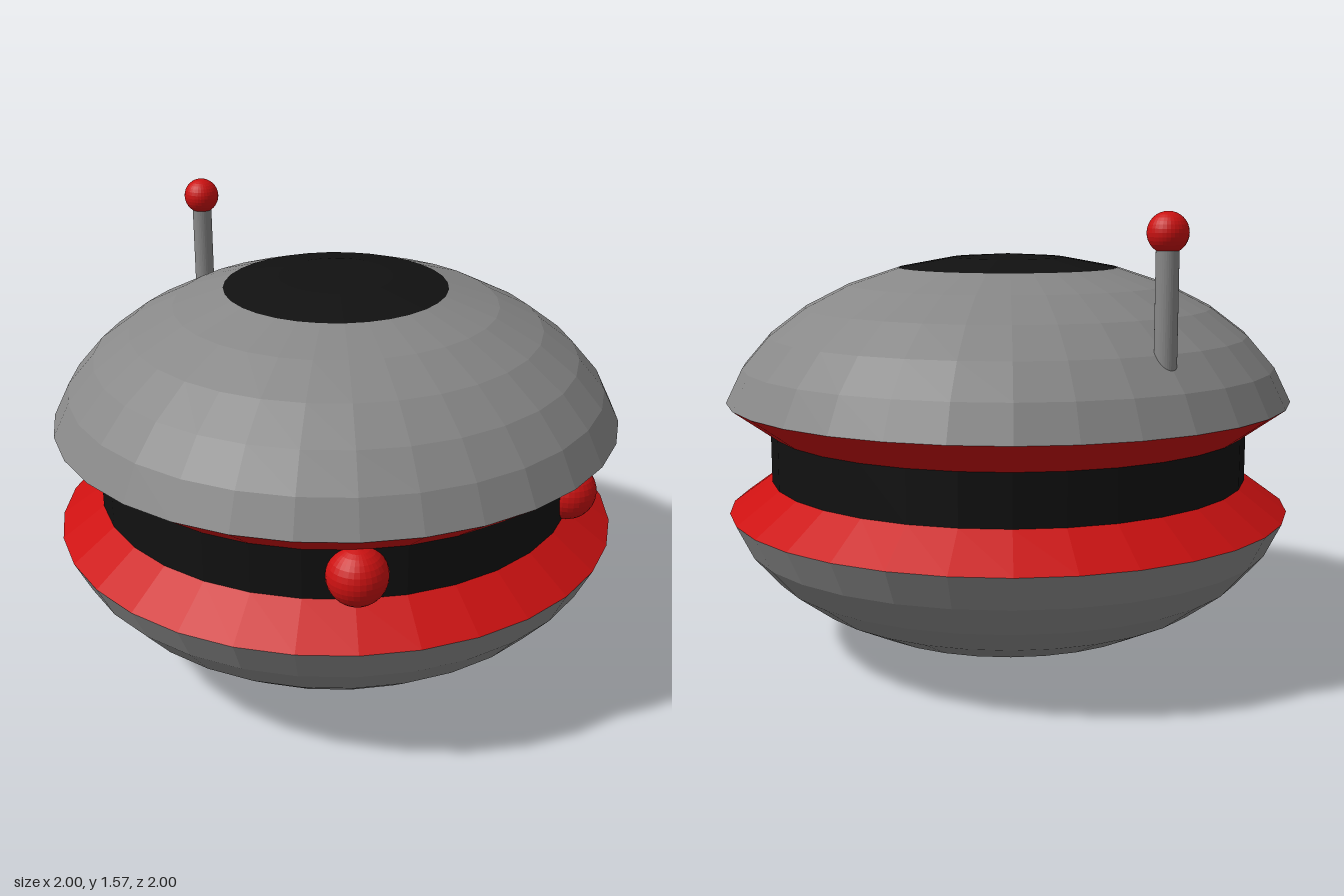
import * as THREE from 'three';

const SIDES = 32;
const MID = 0.703;                 // height of the waist centre
const STEP = Math.PI / 16;         // ring spacing of the domes

export function createModel() {
  const model = new THREE.Group();
  const paint = (color) => new THREE.MeshStandardMaterial({ color, flatShading: true });
  const grey = paint(0x888888);
  const red = paint(0xcc1111);
  const black = paint(0x111111);

  const add = (name, geometry, material, x = 0, y = 0, z = 0, parent = model) => {
    const mesh = new THREE.Mesh(geometry, material);
    mesh.name = name;
    mesh.position.set(x, y, z);
    parent.add(mesh);
    return mesh;
  };

  // Revolved strip from [radius, height] pairs listed bottom to top
  const lathe = (points) =>
    new THREE.LatheGeometry(points.map(([r, y]) => new THREE.Vector2(r, y)), SIDES);

  // Rings of a squashed sphere, relative to the waist; index 0 is the pole
  const ring = (i) => [
    i === 0 ? 0 : 1.02 * Math.sin(i * STEP),
    0.074 + 0.629 * Math.cos(i * STEP),
  ];
  const rings = (from, to) => {
    const list = [];
    for (let i = from; i >= to; i--) list.push(ring(i));
    return list;
  };
  const rim = ring(7);
  const waist = [0.85, 0.088];

  // Upper and lower halves: shell, polar cap and sloping lip
  for (const [label, up] of [['upper', true], ['lower', false]]) {
    const half = new THREE.Group();
    half.name = label + 'Half';
    half.position.y = MID;
    model.add(half);
    const orient = (pts) =>
      lathe(up ? pts : pts.map(([r, y]) => [r, -y]).reverse());
    add(label + 'Shell', orient(rings(7, 2)), grey, 0, 0, 0, half);
    add(label + 'Cap', orient(rings(2, 0)), black, 0, 0, 0, half);
    add(label + 'Lip', orient([waist, rim]), red, 0, 0, 0, half);
  }

  // Recessed band round the waist
  add('waistBand', lathe([[waist[0], -waist[1]], waist]), black, 0, MID, 0);

  // Eyes half sunk into the band
  const eye = new THREE.SphereGeometry(0.1, 32, 16);
  add('leftFrontEye', eye, red, 0.71, MID, 0.467);
  add('leftBackEye', eye, red, 0.71, MID, -0.467);

  // Antenna
  add('antennaRod', new THREE.CylinderGeometry(0.036, 0.036, 0.5, 32), grey, -0.85, 1.25, 0);
  add('antennaBall', new THREE.SphereGeometry(0.065, 32, 16), red, -0.85, 1.5, 0);

  return model;
}
